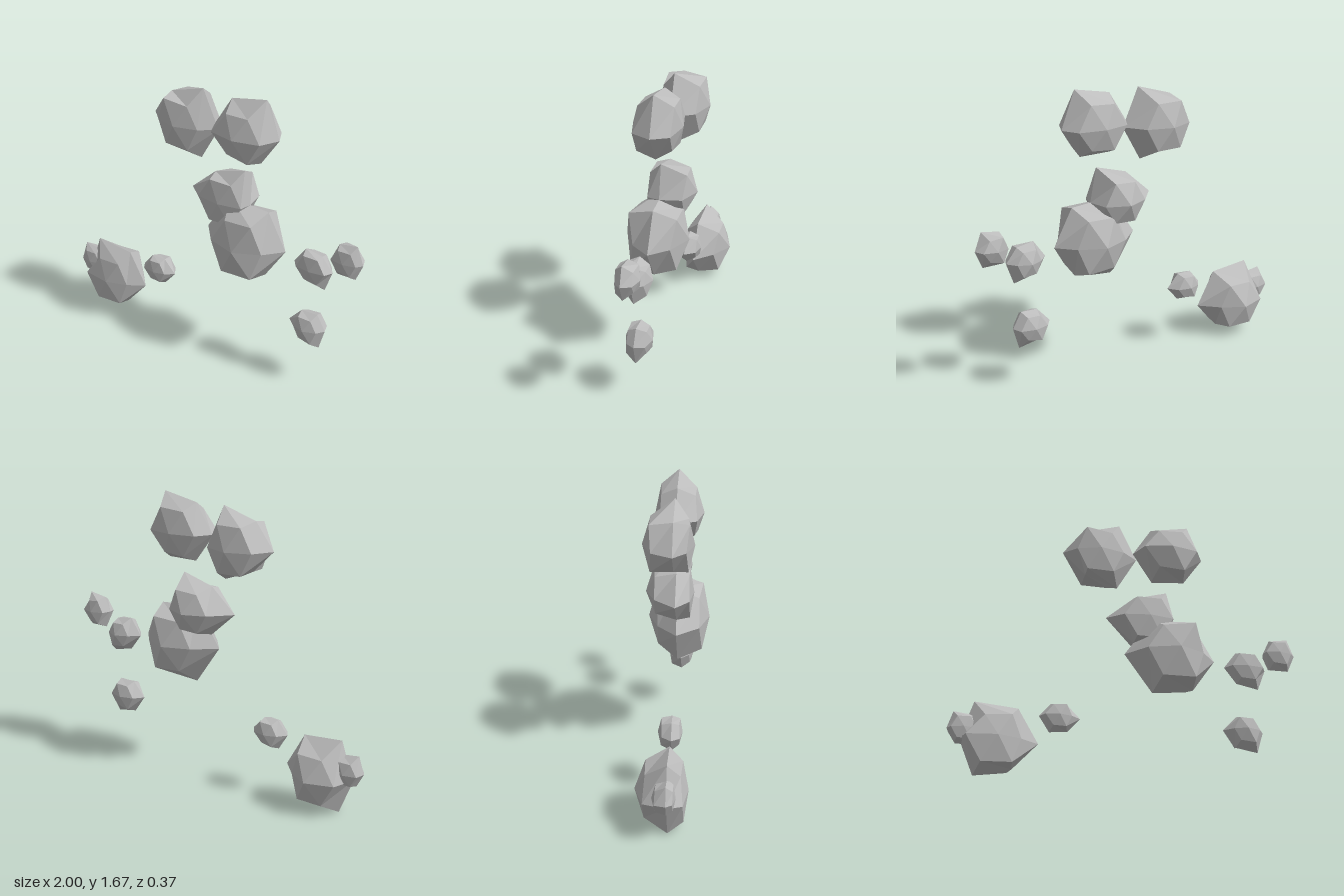
import * as THREE from 'three';

// Centre, front and back depth, then six rim radii clockwise from the left corner;
// side draws in the ring corners behind the right tip to make it pointed
const rocks = {
  upperLeftRock: { c: [-0.18, 1.41], z: [0.115, 0.175], rim: [0.21, 0.18, 0.255, 0.23, 0.23, 0.15] },
  upperRightRock: { c: [0.24, 1.45], z: [0.15, 0.13], rim: [0.21, 0.2, 0.25, 0.21, 0.19, 0.19] },
  middleRock: { c: [0.115, 1.01], z: [0.1, 0.18], rim: [0.245, 0.165, 0.23, 0.155, 0.185, 0.165] },
  largeCentreRock: { c: [0.27, 0.79], z: [0.185, 0.175], rim: [0.29, 0.265, 0.245, 0.24, 0.22, 0.26], side: 0.82 },
  largeLowerRock: { c: [-0.73, 0.205], z: [0.11, 0.185], rim: [0.2, 0.255, 0.23, 0.23, 0.18, 0.237], side: 0.85 },
  lowerLeftPebble: { c: [-0.91, 0.26], z: [0.05, 0.08], rim: [0.09, 0.115, 0.1, 0.08, 0.12, 0.09] },
  lowerInnerPebble: { c: [-0.39, 0.37], z: [0.06, 0.08], rim: [0.11, 0.09, 0.09, 0.12, 0.095, 0.105] },
  lowerRightPebble: { c: [0.68, 0.37], z: [0.075, 0.08], rim: [0.13, 0.1, 0.105, 0.105, 0.14, 0.115] },
  innerRightPebble: { c: [0.7, 0.76], z: [0.065, 0.09], rim: [0.13, 0.115, 0.095, 0.115, 0.14, 0.11] },
  outerRightPebble: { c: [0.9, 0.87], z: [0.055, 0.08], rim: [0.09, 0.1, 0.12, 0.1, 0.115, 0.115] },
};

// Small seeded generator for the roughness of the front and back rings
let seed = 7;
function random() {
  seed = (seed * 16807) % 2147483647;
  return seed / 2147483647;
}

// Facetted rock: front tip, front ring, rim, back ring, back tip
function rockGeometry({ c, z: [front, back], rim, side = 1 }) {
  const mean = rim.reduce((sum, r) => sum + r) / 6;
  const corner = (i, r, z) => {
    const a = Math.PI - i * Math.PI / 3;
    return [c[0] + r * Math.cos(a), c[1] + r * Math.sin(a), z];
  };
  const ring = (depth) => rim.map((r, i) => {
    const bulge = 0.707 * (0.9 + 0.22 * random()) * (i === 3 ? side : 1);
    return corner(i, mean * bulge, depth * bulge);
  });
  const tip = (z) => rim.map((r, i) => corner(i, 0, z));
  const rows = [tip(front), ring(front), rim.map((r, i) => corner(i, r, 0)), ring(-back), tip(-back)];

  const pos = [];
  for (let row = 0; row < 4; row++) {
    for (let i = 0; i < 6; i++) {
      const j = (i + 1) % 6;
      const p = rows[row][i], q = rows[row][j], s = rows[row + 1][i], t = rows[row + 1][j];
      if (row > 0) pos.push(...p, ...q, ...s);
      if (row < 3) pos.push(...q, ...t, ...s);
    }
  }
  const geometry = new THREE.BufferGeometry();
  geometry.setAttribute('position', new THREE.Float32BufferAttribute(pos, 3));
  geometry.computeVertexNormals();
  return geometry;
}

export function createModel() {
  seed = 7;
  const group = new THREE.Group();
  group.name = 'floatingRocks';
  const stone = new THREE.MeshStandardMaterial({ color: 0xbcbcbc, flatShading: true });
  stone.name = 'grey stone';
  for (const [name, rock] of Object.entries(rocks)) {
    const mesh = new THREE.Mesh(rockGeometry(rock), stone);
    mesh.name = name;
    group.add(mesh);
  }
  return group;
}
